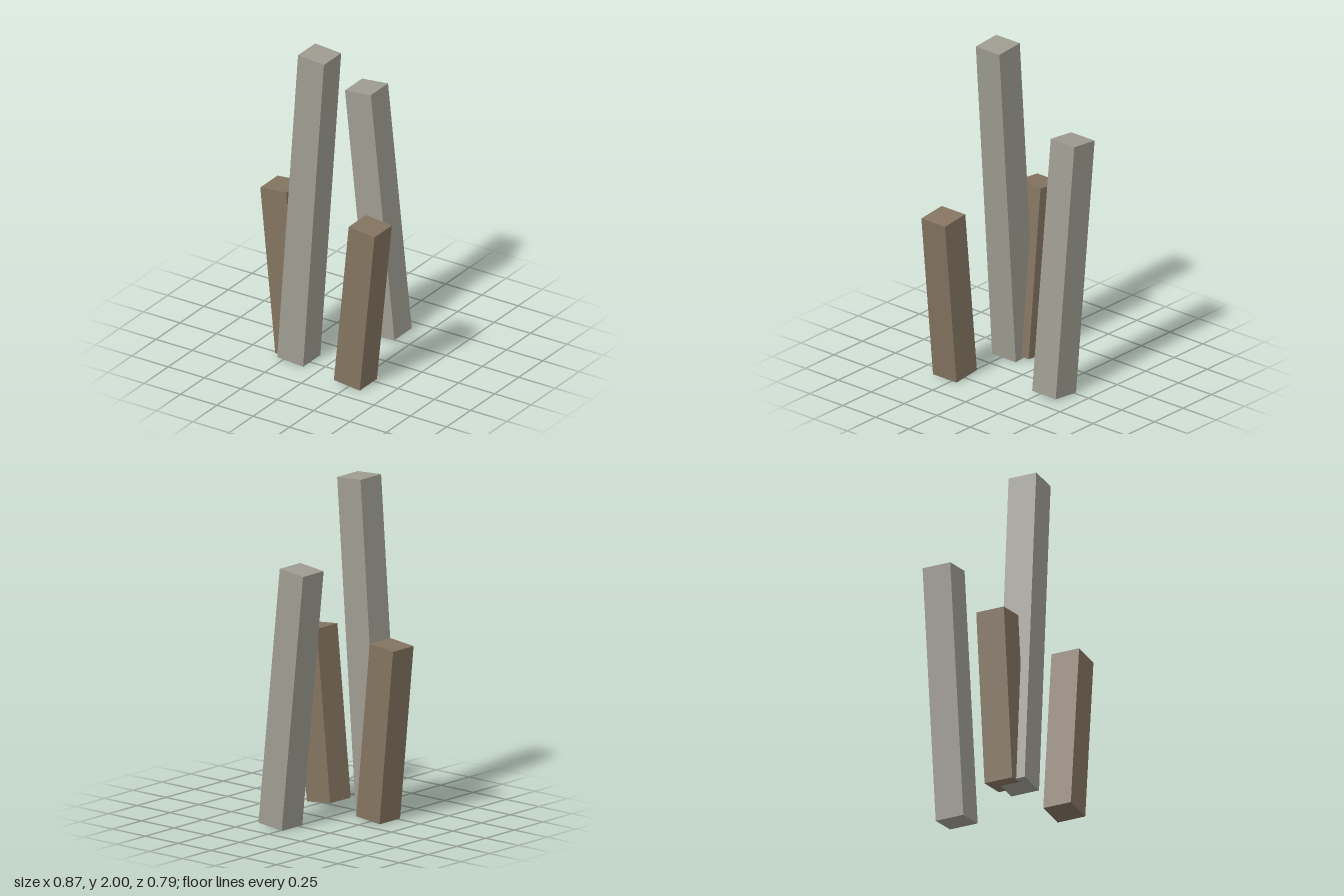
import * as THREE from 'three';

export function createModel() {
  const model = new THREE.Group();
  model.name = 'leaningPosts';

  const material = (name, color) => {
    const m = new THREE.MeshStandardMaterial({ color });
    m.name = name;
    return m;
  };
  const grey = material('weatheredGrey', 0x9e9c91);
  const brown = material('woodBrown', 0x847460);

  // Square posts, each leaning sideways: centre, length and tilt about z
  const thickness = 0.179;
  const posts = [
    { name: 'tallFrontPost', mat: grey, at: [-0.122, 1.0, 0.233], length: 1.99, tilt: -0.072 },
    { name: 'tallBackPost', mat: grey, at: [-0.003, 0.777, -0.306], length: 1.54, tilt: 0.106 },
    { name: 'shortRightPost', mat: brown, at: [-0.295, 0.53, 0.178], length: 1.044, tilt: 0.099 },
    { name: 'shortLeftPost', mat: brown, at: [0.294, 0.518, 0.304], length: 1.021, tilt: -0.1 },
  ];

  for (const { name, mat, at, length, tilt } of posts) {
    const post = new THREE.Mesh(new THREE.BoxGeometry(thickness, length, thickness), mat);
    post.name = name;
    post.position.set(...at);
    post.rotation.z = tilt;
    model.add(post);
  }
  return model;
}
